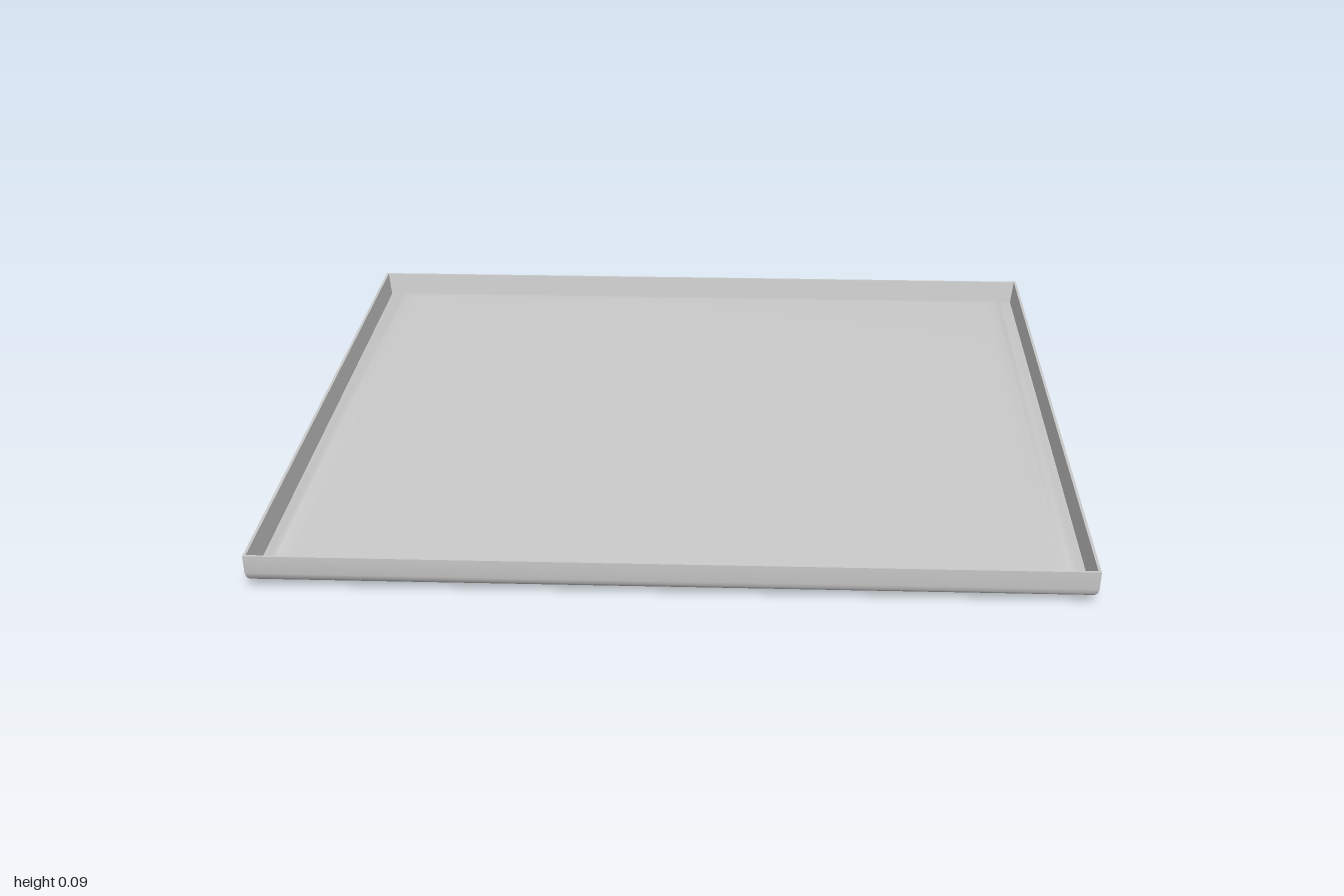
import * as THREE from 'three';
import { toCreasedNormals } from 'three/addons/utils/BufferGeometryUtils.js';

// Sweeps a [half-width, height] profile around a square
function squareSweep(name, profile) {
  const points = profile.map(([half, y]) => new THREE.Vector2(half * Math.SQRT2, y));
  const lathe = new THREE.LatheGeometry(points, 4, Math.PI / 4);
  lathe.deleteAttribute('uv');
  const material = new THREE.MeshStandardMaterial({ color: 0xcccccc });
  const mesh = new THREE.Mesh(toCreasedNormals(lathe, 0.6), material);
  mesh.name = name;
  return mesh;
}

export function createModel() {
  const group = new THREE.Group();
  group.name = 'squareTray';

  // Tray shell: underside, rounded lower edge, thin upright wall
  group.add(squareSweep('trayShell', [
    [0, 0.018], [0.98, 0.018], [0.989, 0.021], [0.995, 0.028], [0.998, 0.04],
    [1, 0.085], [0.993, 0.085], [0.984, 0.021], [0.9, 0.021],
  ]));

  // Raised floor pad whose edges roll down towards the wall
  group.add(squareSweep('floorPad', [
    [0.982, 0.021], [0.965, 0.029], [0.945, 0.039], [0.925, 0.044],
    [0.9, 0.0455], [0, 0.0455],
  ]));

  // Stepped underside: each foot has a thin lip on the ground and rises inwards
  const feet = [0.92, 0.69, 0.457, 0.336];
  feet.forEach((half, i) => {
    const inner = i < 3 ? feet[i + 1] - 0.04 : 0;
    group.add(squareSweep('footLayer', [
      [inner, 0.014], [half, 0], [half - 0.065, 0.018],
    ]));
  });
  return group;
}
